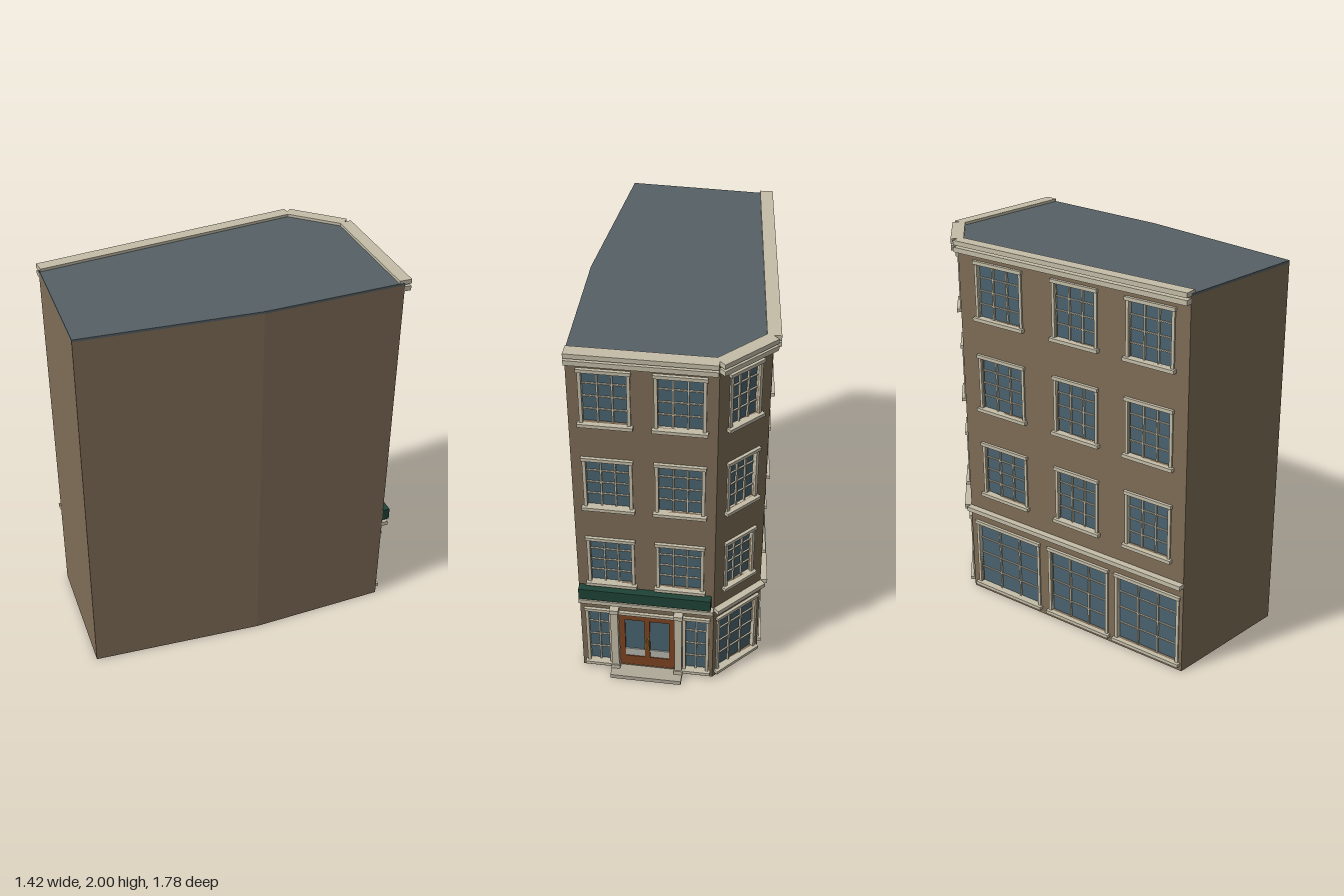
import * as THREE from 'three';

const mat = (color, side = THREE.FrontSide) => new THREE.MeshStandardMaterial({ color, side });
const M = {
  wall: mat(0x7f6d57, THREE.DoubleSide),
  roof: mat(0x566064),
  trim: mat(0xc4bda8),
  glass: mat(0x4a6470),
  wood: mat(0x7e4522),
  panel: mat(0xb9b9b2),
  sign: mat(0x1f4437),
  brass: mat(0xb8963c),
  step: mat(0xb0aa98),
};

// Footprint corners (x, z) in order; the first three edges face the streets
const PLAN = [
  [0.69, -0.56], [0.077, -0.857], [-0.216, -0.742],
  [-0.683, 0.56], [-0.06, 0.888], [0.39, 0.108],
];
const WALL_TOP = 1.974, THICK = 0.03;
const FLOORS = [0.605, 1.1, 1.597]; // sill levels of the upper storeys
const WIN_H = 0.313;

// Box given by its extents; z = 0 is the wall face, +z is outward
function box(parent, name, material, x0, x1, y0, y1, z0, z1) {
  const m = new THREE.Mesh(new THREE.BoxGeometry(x1 - x0, y1 - y0, z1 - z0), material);
  m.position.set((x0 + x1) / 2, (y0 + y1) / 2, (z0 + z1) / 2);
  m.name = name;
  parent.add(m);
  return m;
}

function rectPath(x0, x1, y0, y1, Type = THREE.Path) {
  const p = new Type();
  p.moveTo(x0, y0);
  p.lineTo(x1, y0);
  p.lineTo(x1, y1);
  p.lineTo(x0, y1);
  p.closePath();
  return p;
}

// Upright slab with rectangular holes [x0, x1, y0, y1]
function slab(parent, name, material, outline, holes, z0, z1) {
  const shape = rectPath(...outline, THREE.Shape);
  shape.holes = holes.map((h) => rectPath(...h));
  const geo = new THREE.ExtrudeGeometry(shape, { depth: z1 - z0, bevelEnabled: false });
  const m = new THREE.Mesh(geo, material);
  m.position.z = z0;
  m.name = name;
  parent.add(m);
}

// Glazed window with casing, head, sill and glazing bars; returns its wall opening
function addWindow(parent, cx, w, y0, y1, cols, rows) {
  const g = new THREE.Group();
  g.name = 'window';
  parent.add(g);
  const a = cx - w / 2, b = cx + w / 2, t = 0.016;
  const hole = [a + t, b - t, y0 + 0.018, y1 - 0.018];
  const [x0, x1, h0, h1] = hole;
  box(g, 'glass', M.glass, x0, x1, h0, h1, -0.024, -0.016);
  slab(g, 'casing', M.trim, [a, b, y0 + 0.01, y1 - 0.006], [hole], -0.016, 0.008);
  box(g, 'head', M.trim, a - 0.005, b + 0.005, y1 - 0.018, y1, 0, 0.016);
  box(g, 'sill', M.trim, a - 0.01, b + 0.01, y0, y0 + 0.018, 0, 0.024);
  for (let i = 1; i < cols; i++) {
    const x = x0 + ((x1 - x0) * i) / cols;
    box(g, 'verticalBar', M.trim, x - 0.004, x + 0.004, h0, h1, -0.017, -0.006);
  }
  for (let j = 1; j < rows; j++) {
    const y = h0 + ((h1 - h0) * j) / rows;
    box(g, 'horizontalBar', M.trim, x0, x1, y - 0.003, y + 0.003, -0.017, -0.008);
  }
  return hole;
}

// Double entrance door between pilasters, with a step in front
function addEntrance(parent, cx) {
  const g = new THREE.Group();
  g.name = 'entrance';
  parent.add(g);
  const hw = 0.143, y0 = 0.03, y1 = 0.41;
  const hole = [cx - hw, cx + hw, y0, y1];
  const panes = [-1, 1].map((s) => {
    const c = cx + s * 0.064;
    return [c - 0.05, c + 0.05, 0.095, 0.36];
  });
  slab(g, 'doorFrame', M.wood, hole, panes, -0.022, -0.002);
  panes.forEach(([x0, x1, p0, p1], i) => {
    box(g, 'doorGlass', M.glass, x0, x1, p0, p1, -0.02, -0.012);
    box(g, 'doorPanel', M.panel, x0, x1, p0, p0 + 0.05, -0.012, -0.006);
    const hx = cx + (i ? 0.009 : -0.009);
    box(g, 'handle', M.brass, hx - 0.003, hx + 0.003, 0.16, 0.24, -0.002, 0.01);
  });
  for (const s of [-1, 1]) {
    const px = cx + s * 0.164;
    box(g, 'pilaster', M.trim, px - 0.019, px + 0.019, 0.02, 0.45, 0, 0.028);
    box(g, 'pilasterBase', M.trim, px - 0.023, px + 0.023, 0.02, 0.05, 0, 0.034);
    box(g, 'pilasterCap', M.trim, px - 0.023, px + 0.023, 0.425, 0.45, 0, 0.034);
  }
  box(g, 'doorHead', M.trim, cx - hw, cx + hw, 0.408, 0.425, -0.01, 0.016);
  box(g, 'step', M.step, cx - 0.185, cx + 0.185, 0, 0.025, -0.02, 0.08);
  return hole;
}

// Openings per street side: fractions and widths along each wall
const SIDES = [
  {
    name: 'entranceSide', upper: [[0.25, 0.235], [0.75, 0.235]],
    ground: [[0.137, 0.135, 2], [0.87, 0.135, 2]], door: true,
  },
  { name: 'cornerSide', upper: [[0.5, 0.19]], ground: [[0.5, 0.27, 3]] },
  {
    name: 'longSide', upper: [[0.187, 0.3], [0.53, 0.27], [0.845, 0.27]],
    ground: [[0.187, 0.44, 3], [0.53, 0.39, 3], [0.845, 0.39, 3]],
  },
];

export function createModel() {
  const model = new THREE.Group();
  model.name = 'cornerBuilding';

  PLAN.forEach(([px, pz], i) => {
    const [qx, qz] = PLAN[(i + 1) % PLAN.length];
    const L = Math.hypot(qx - px, qz - pz);
    const side = SIDES[i];
    const g = new THREE.Group();
    g.name = side ? side.name : 'partyWall';
    g.position.set(px, 0, pz);
    g.rotation.y = Math.atan2(pz - qz, qx - px);
    model.add(g);

    const holes = [];
    if (side) {
      for (const [f, w] of side.upper)
        for (const y of FLOORS) holes.push(addWindow(g, f * L, w, y, y + WIN_H, 3, 4));
      for (const [f, w, cols] of side.ground)
        holes.push(addWindow(g, f * L, w, 0.028, 0.43, cols, 4));
      if (side.door) {
        holes.push(addEntrance(g, L / 2));
        box(g, 'signBoard', M.sign, 0.004, L - 0.012, 0.525, 0.59, 0, 0.042);
      }
      // Cornice bands and string course
      box(g, 'upperCornice', M.trim, 0, L, 1.976, 2, -0.03, 0.035);
      box(g, 'lowerCornice', M.trim, 0, L, 1.94, 1.965, -0.005, 0.035);
      box(g, 'stringCourse', M.trim, 0, L, 0.486, 0.51, -0.005, 0.035);
    }
    slab(g, 'wall', M.wall, [0, L, 0, WALL_TOP], holes, -THICK, 0);
  });

  // Flat roof slab following the footprint
  const outline = new THREE.Shape(PLAN.map(([x, z]) => new THREE.Vector2(x, -z)));
  const roof = new THREE.Mesh(
    new THREE.ExtrudeGeometry(outline, { depth: 0.012, bevelEnabled: false }), M.roof);
  roof.rotation.x = -Math.PI / 2;
  roof.position.y = WALL_TOP;
  roof.name = 'roof';
  model.add(roof);

  return model;
}
